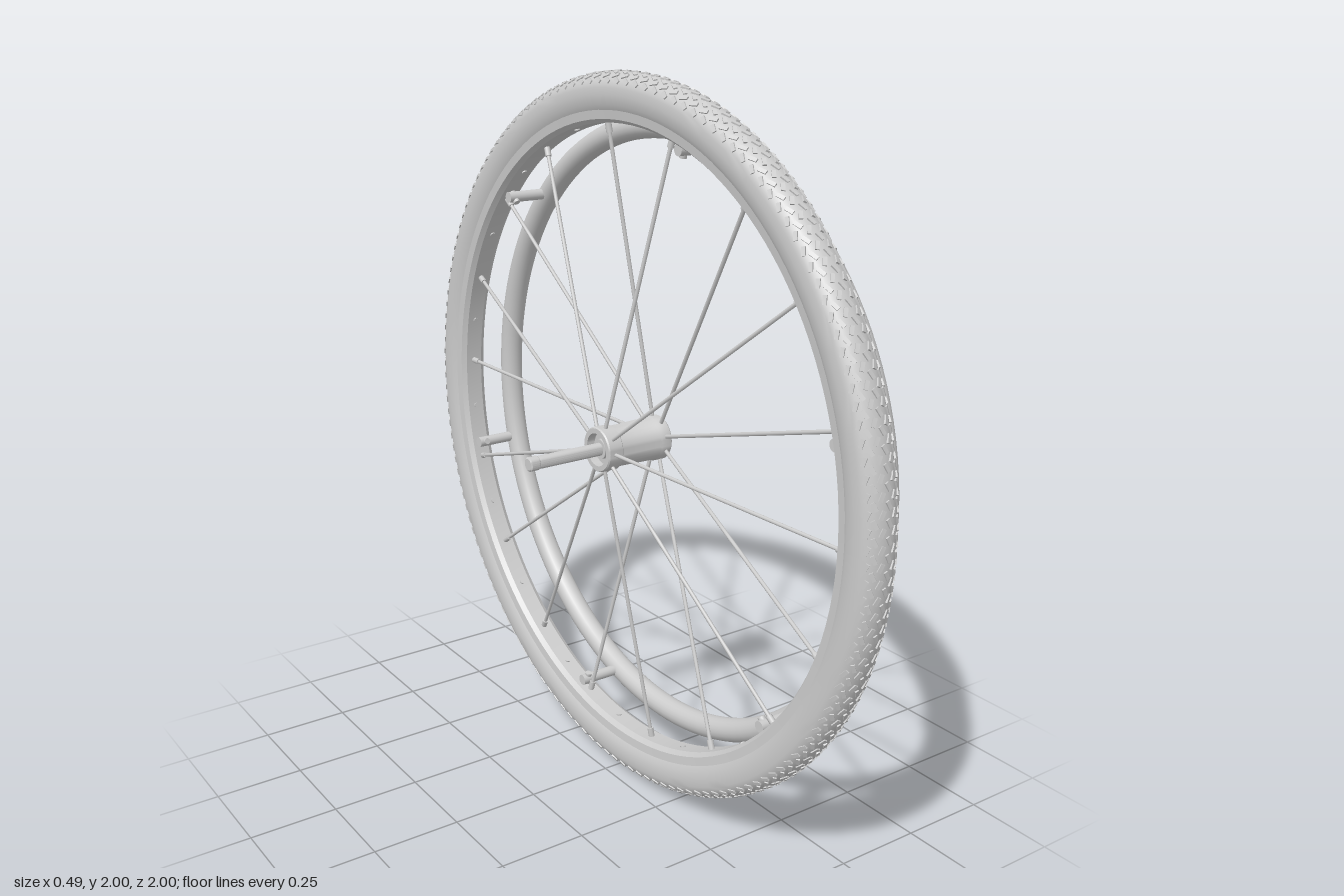
import * as THREE from 'three';
import { mergeGeometries, toCreasedNormals } from 'three/addons/utils/BufferGeometryUtils.js';

const material = new THREE.MeshStandardMaterial({ color: 0xcccccc });
const MID = 0.08; // x of the tyre's centre plane
const rad = THREE.MathUtils.degToRad;

// Point on the wheel: radius, angle from the top, x along the axle
const at = (r, deg, x) => new THREE.Vector3(x, r * Math.cos(rad(deg)), -r * Math.sin(rad(deg)));

// Solid turned around the x axle; profile of [radius, x]
function turned(profile, segments, crease) {
  const g = new THREE.LatheGeometry(profile.map(p => new THREE.Vector2(p[0], p[1])), segments);
  g.rotateZ(-Math.PI / 2);
  return toCreasedNormals(g, rad(crease));
}

// Round bar between two points
function bar(a, b, r, sides = 8) {
  const d = b.clone().sub(a);
  const g = new THREE.CylinderGeometry(r, r, d.length(), sides);
  g.applyQuaternion(new THREE.Quaternion().setFromUnitVectors(new THREE.Vector3(0, 1, 0), d.normalize()));
  const m = a.clone().add(b).multiplyScalar(0.5);
  return g.translate(m.x, m.y, m.z);
}

export function createModel() {
  const model = new THREE.Group();
  const wheel = new THREE.Group();
  wheel.name = 'wheel';
  wheel.position.y = 1;
  model.add(wheel);
  const add = (name, geometry) => {
    const mesh = new THREE.Mesh(geometry, material);
    mesh.name = name;
    wheel.add(mesh);
  };

  // Tyre: rounded crown with straight side walls
  const tyre = [[0.90, -0.042], [0.915, -0.050], [0.94, -0.053], [0.958, -0.052]];
  for (let i = 1; i < 12; i++) {
    const a = -Math.PI / 2 + (i / 12) * Math.PI;
    tyre.push([0.955 + 0.042 * Math.cos(a), 0.052 * Math.sin(a)]);
  }
  tyre.push([0.958, 0.052], [0.94, 0.053], [0.915, 0.050], [0.90, 0.042], [0.90, -0.042]);
  add('tyre', turned(tyre.map(([r, x]) => [r, x + MID]), 128, 50));

  // Tread: staggered rows of low blocks over the crown
  const blocks = [];
  const rows = 7, count = 150;
  for (let row = 0; row < rows; row++) {
    const lean = ((row - (rows - 1) / 2) / (rows - 1)) * 2.1;
    for (let i = 0; i < count; i++) {
      const g = new THREE.BoxGeometry(0.010, 0.006, 0.022);
      g.rotateY(row % 2 ? 0.45 : -0.45);
      g.rotateZ(-lean);
      g.translate(MID + 0.052 * Math.sin(lean), 0.955 + 0.042 * Math.cos(lean), 0);
      g.rotateX(((i + (row % 2) / 2) / count) * Math.PI * 2);
      blocks.push(g);
    }
  }
  add('tread', mergeGeometries(blocks));

  // Rim: shallow channel section
  const rim = [[0.868, -0.026], [0.878, -0.040], [0.920, -0.045], [0.920, 0.045],
    [0.878, 0.040], [0.868, 0.026], [0.868, -0.026]];
  add('rim', turned(rim.map(([r, x]) => [r, x + MID]), 128, 30));

  // Spokes alternate between the two hub flanges
  const spokes = [], nipples = [];
  for (let k = 0; k < 18; k++) {
    const outer = k % 2 === 0;
    const angle = 20 * k + (outer ? 7 : 8);
    const root = at(0.05, angle, outer ? 0.165 : -0.01);
    const tip = at(0.875, angle, MID);
    spokes.push(bar(root, tip, 0.0055));
    nipples.push(bar(tip.clone().lerp(root, 0.04), tip, 0.009));
    // Small rivet halfway to the next spoke
    nipples.push(bar(at(0.864, angle + 10, MID), at(0.88, angle + 10, MID), 0.008));
  }
  add('spokes', mergeGeometries(spokes));
  add('spokeNipples', mergeGeometries(nipples));

  // Hub: barrel with a recessed inner end and a rimmed outer cap
  const hub = [[0, -0.005], [0.046, -0.005], [0.046, -0.03], [0.060, -0.03], [0.063, -0.026],
    [0.063, 0.015], [0.057, 0.02], [0.060, 0.145], [0.063, 0.15], [0.063, 0.178],
    [0.060, 0.182], [0.050, 0.182], [0.048, 0.177], [0, 0.177]];
  add('hub', turned(hub, 40, 35));

  // Axle with a collared tip
  const axle = [[0, -0.249], [0.016, -0.249], [0.020, -0.246], [0.020, -0.222],
    [0.017, -0.219], [0.018, -0.21], [0.018, 0], [0, 0]];
  add('axle', turned(axle, 24, 35));

  // Collar around the axle where it enters the hub
  add('axleCollar', bar(at(0, 0, -0.02), at(0, 0, 0), 0.028, 24));

  // Push ring
  const ring = new THREE.TorusGeometry(0.852, 0.034, 20, 128);
  ring.rotateY(Math.PI / 2);
  ring.translate(0.211, 0, 0);
  add('pushRing', ring);

  // Six stand-offs carry the push ring, each bolted to the rim
  const posts = [], bolts = [];
  for (let k = 0; k < 6; k++) {
    const angle = 60 * k - 15;
    posts.push(bar(at(0.852, angle, 0.065), at(0.852, angle, 0.2), 0.016, 16));
    bolts.push(bar(at(0.83, angle, 0.085), at(0.88, angle, 0.085), 0.010, 12));
  }
  add('standOffs', mergeGeometries(posts));
  add('standOffBolts', mergeGeometries(bolts));

  return model;
}
